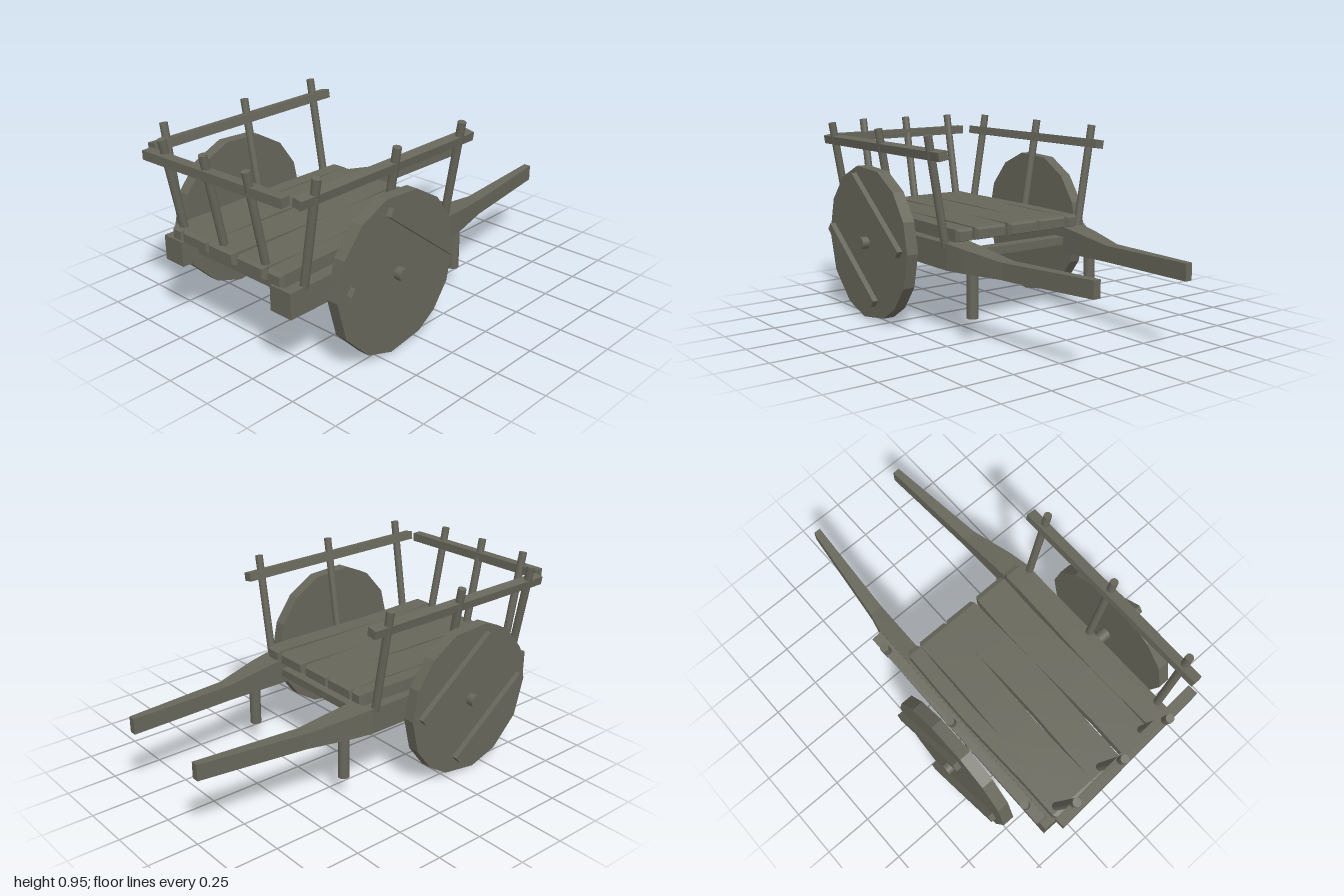
import * as THREE from 'three';

const wood = new THREE.MeshStandardMaterial({ color: 0x66665a });
wood.name = 'weathered wood';

function add(parent, name, geometry, x = 0, y = 0, z = 0) {
  const mesh = new THREE.Mesh(geometry, wood);
  mesh.name = name;
  mesh.position.set(x, y, z);
  parent.add(mesh);
  return mesh;
}

// Round pole between two points
function pole(parent, name, a, b, radius, sides = 10) {
  const from = new THREE.Vector3(...a), to = new THREE.Vector3(...b);
  const dir = to.clone().sub(from);
  const mesh = add(parent, name, new THREE.CylinderGeometry(radius, radius, dir.length(), sides));
  mesh.position.copy(from).add(to).multiplyScalar(0.5);
  mesh.quaternion.setFromUnitVectors(new THREE.Vector3(0, 1, 0), dir.normalize());
  return mesh;
}

// Beam along x, stations are [x, yBottom, yTop, zMin, zMax]
function beam(stations) {
  const n = stations.length - 1;
  const g = new THREE.BoxGeometry(1, 1, 1, n, 1, 1);
  const p = g.attributes.position;
  for (let i = 0; i < p.count; i++) {
    const s = stations[Math.round((p.getX(i) + 0.5) * n)];
    p.setXYZ(i, s[0], p.getY(i) < 0 ? s[1] : s[2], p.getZ(i) < 0 ? s[3] : s[4]);
  }
  const flat = g.toNonIndexed();
  flat.computeVertexNormals();
  return flat;
}

// Hand-hewn floor board with wavy edges and eased ends
function board(z0, z1, phase) {
  const xs = [-0.92, -0.9, -0.7, -0.5, -0.3, -0.1, 0.04, 0.13, 0.153];
  return beam(xs.map((x, i) => {
    const end = i === 0 || i === xs.length - 1;
    const wave = 0.006 * Math.sin(x * 6 + phase);
    const inset = end ? 0.012 : 0;
    return [x, 0.45 + inset * 0.6, 0.51 - inset * 0.8, z0 + wave + inset, z1 + wave - inset];
  }));
}

// Rough solid disc wheel
function wheelGeometry() {
  const angles = [0, 23, 47, 72, 102, 127, 152, 180, 210, 240, 264, 293, 312, 334];
  const shape = new THREE.Shape(angles.map(d => {
    const a = THREE.MathUtils.degToRad(d);
    return new THREE.Vector2(0.383 * Math.cos(a), 0.385 * Math.sin(a));
  }));
  return new THREE.ExtrudeGeometry(shape, { depth: 0.06, bevelEnabled: false }).translate(0, 0, -0.03);
}

export function createModel() {
  const cart = new THREE.Group();
  cart.name = 'handCart';

  // Floor boards
  [[-0.365, -0.292], [-0.29, -0.112], [-0.105, 0.07], [0.08, 0.258], [0.268, 0.362]]
    .forEach(([a, b], i) => add(cart, 'floorBoard', board(a, b, i * 1.9)));

  // Cross bars under the floor
  for (const x of [-0.795, -0.39, 0.09])
    add(cart, 'crossBar', new THREE.BoxGeometry(0.065, 0.04, 0.66), x, 0.381, 0);

  const stakeX = [-0.825, -0.345, 0.1];
  for (const s of [1, -1]) {
    const side = new THREE.Group();
    side.name = s > 0 ? 'frontSide' : 'backSide';
    cart.add(side);

    // Long shaft running from the bed into the tapered handle
    const shaft = [
      [-0.92, 0.325, 0.448, 0.295, 0.42],
      [0.13, 0.322, 0.45, 0.29, 0.415],
      [0.24, 0.325, 0.438, 0.287, 0.398],
      [0.46, 0.331, 0.41, 0.28, 0.348],
      [1, 0.342, 0.422, 0.248, 0.285],
    ].map(([x, y0, y1, inner, outer]) =>
      s > 0 ? [x, y0, y1, inner, outer] : [x, y0, y1, -outer, -inner]);
    add(side, 'shaft', beam(shaft));

    // Prop leg
    pole(side, 'propLeg', [0.25, 0.113, 0.355 * s], [0.25, 0.38, 0.355 * s], 0.028, 12);

    // Wheel, axle and two wheel cleats
    add(side, 'wheel', wheelGeometry(), -0.39, 0.387, 0.515 * s);
    pole(side, 'axle', [-0.39, 0.39, 0.35 * s], [-0.39, 0.39, 0.582 * s], 0.031, 12);
    for (const [x, y] of [[-0.26, 0.55], [-0.5, 0.265]])
      add(side, 'wheelCleat', new THREE.BoxGeometry(0.54, 0.042, 0.028), x, y, 0.568 * s).rotation.z = -0.655;

    // Leaning side stakes and rail
    for (const x of stakeX)
      pole(side, 'sideStake', [x, 0.43, 0.402 * s], [x, 0.952, 0.492 * s], 0.02);
    add(side, 'sideRail', new THREE.BoxGeometry(1.105, 0.042, 0.05), -0.363, 0.863, 0.468 * s).rotation.x = 0.17 * s;
  }

  // Leaning end stakes and slightly skewed end rail
  for (const z of [0.23, -0.04, -0.32])
    pole(cart, 'endStake', [-0.868, 0.445, z], [-0.965, 0.952, z], 0.02);
  const rail = add(cart, 'endRail', new THREE.BoxGeometry(0.05, 0.044, 0.846), -0.953, 0.863, 0);
  rail.rotation.y = 0.052;

  return cart;
}
